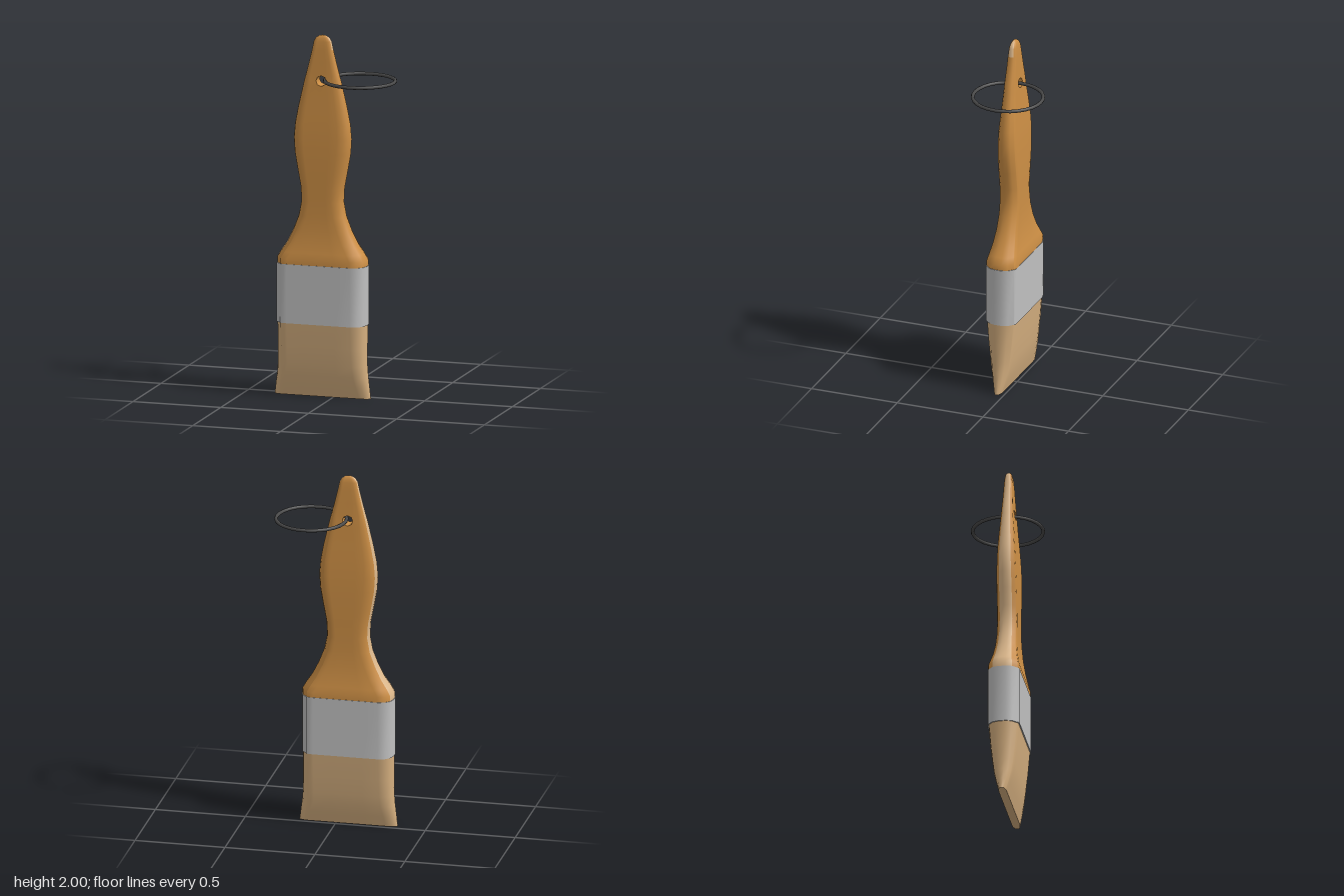
import * as THREE from 'three';

const mat = (name, color, side = THREE.FrontSide) =>
  Object.assign(new THREE.MeshStandardMaterial({ color, side }), { name });

const CX = -0.066, CZ = 0.04; // axis of the brush
const HOLE_Y = 1.75, HOLE_R = 0.029;
const COLS = [-1, -0.5, 0, 0.5, 1]; // columns across each flat face
const ARC = 3; // segments per corner
const RING = 2 * (COLS.length + 2 * ARC + 1); // points per cross-section

// Rounded-rectangle section: half width w, half depth d, corner width rx.
// Runs along the front to +x, round to the back, and home round -x.
function section([y, w, d, rx]) {
  const half = [], rz = 0.78 * d;
  for (const u of COLS) half.push([u * (w - rx), d]);
  for (let i = 1; i <= ARC; i++) {
    const a = (i / ARC) * Math.PI / 2;
    half.push([w - rx + rx * Math.sin(a), d - rz + rz * Math.cos(a)]);
  }
  for (let i = 0; i <= ARC; i++) {
    const a = (i / ARC) * Math.PI / 2;
    half.push([w - rx + rx * Math.cos(a), -(d - rz) - rz * Math.sin(a)]);
  }
  half.pop(); // the last corner point starts the next flat
  half.push([w - rx * 0.5, -d + rz * (1 - Math.cos(Math.PI / 6)) * 0.5], [w - rx * 0.8, -d]);
  const other = half.map(([x, z]) => [-x, -z]);
  return [...half, ...other].map(([x, z]) => new THREE.Vector3(CX + x, y, CZ + z));
}

// Skin between sections; pick(row, column) gives a material index, or -1 for a gap.
function loft(rings, pick = () => 0) {
  const n = rings[0].length, pos = rings.flat().flatMap(p => [p.x, p.y, p.z]);
  const sets = [[], []];
  for (let r = 0; r < rings.length - 1; r++) for (let c = 0; c < n; c++) {
    const m = pick(r, c);
    if (m < 0) continue;
    const a = r * n + c, b = r * n + (c + 1) % n;
    sets[m].push(a, b, b + n, a, b + n, a + n);
  }
  const g = new THREE.BufferGeometry();
  g.setAttribute('position', new THREE.Float32BufferAttribute(pos, 3));
  g.setIndex([...sets[0], ...sets[1]]);
  g.addGroup(0, sets[0].length, 0);
  if (sets[1].length) g.addGroup(sets[0].length, sets[1].length, 1);
  g.computeVertexNormals();
  return g;
}

// Flat lid on a section
function cap(ring, up) {
  const g = new THREE.BufferGeometry(), idx = [];
  const mid = new THREE.Vector3(CX, ring[0].y, CZ);
  g.setAttribute('position', new THREE.Float32BufferAttribute([mid, ...ring].flatMap(p => [p.x, p.y, p.z]), 3));
  ring.forEach((_, i) => {
    const a = i + 1, b = (i + 1) % ring.length + 1;
    idx.push(0, ...(up ? [a, b] : [b, a]));
  });
  g.setIndex(idx);
  g.computeVertexNormals();
  return g;
}

export function createModel() {
  const group = new THREE.Group();
  const wood = mat('wood', 0xcd8f45), paleWood = mat('pale wood', 0xdeb98c);
  const metal = mat('ferrule metal', 0xc0c0c0), hair = mat('bristle', 0xd6b080);
  const wire = mat('dark wire', 0x4a4a4a), holeWood = mat('hole wood', 0xcd8f45, THREE.DoubleSide);
  const add = (name, geometry, material) => {
    const mesh = new THREE.Mesh(geometry, material);
    mesh.name = name;
    group.add(mesh);
    return mesh;
  };

  // Handle profile: height, half width, half depth, corner width
  const rows = [
    [0.73, 0.252, 0.088, 0.075], [0.765, 0.252, 0.088, 0.075], [0.80, 0.232, 0.080, 0.075],
    [0.85, 0.198, 0.070, 0.07], [0.92, 0.163, 0.061, 0.065], [1.0, 0.132, 0.057, 0.06],
    [1.08, 0.117, 0.056, 0.055], [1.16, 0.121, 0.056, 0.055], [1.26, 0.140, 0.056, 0.06],
    [1.35, 0.156, 0.055, 0.065], [1.43, 0.161, 0.053, 0.065], [1.51, 0.154, 0.049, 0.06],
    [1.60, 0.137, 0.043, 0.055], [1.67, 0.121, 0.038, 0.05],
    [HOLE_Y - HOLE_R, 0.109, 0.035, 0.045], [HOLE_Y, 0.102, 0.033, 0.04],
    [HOLE_Y + HOLE_R, 0.094, 0.031, 0.034], [1.85, 0.076, 0.027, 0.03],
    [1.92, 0.059, 0.024, 0.026], [1.965, 0.050, 0.020, 0.024],
    [1.985, 0.038, 0.016, 0.02], [1.997, 0.020, 0.009, 0.012], [2.0, 0.004, 0.002, 0.002],
  ];
  const rings = rows.map(section);
  const H = 15, half = RING / 2, n = rings[0].length, back = n / 2;

  // Pull the points round the hole onto a circle, front and back
  const loop = [[-1, 1], [-1, 2], [-1, 3], [0, 3], [1, 3], [1, 2], [1, 1], [0, 1]];
  const rims = [0, back].map(start => loop.map(([dr, c]) => {
    const p = rings[H + dr][start + c], a = Math.atan2(dr, (c - 2) * (start ? -1 : 1));
    p.x = CX + HOLE_R * Math.cos(a);
    p.y = HOLE_Y + HOLE_R * Math.sin(a);
    return p;
  }));
  const side = COLS.length + ARC - 1; // the flat strip on the +x edge
  const pick = (r, c) => {
    const k = c % back;
    if ((r === H - 1 || r === H) && (k === 1 || k === 2)) return -1;
    const edge = k >= side - 1 && k <= side + 1;
    return edge && (c >= back || r >= 18) ? 1 : 0;
  };
  add('handle', loft(rings, pick), [wood, paleWood]);
  add('handleTip', cap(rings.at(-1), true), wood);

  // Wall of the hanging hole; the back loop is mirrored to line up with the front
  const order = [2, 1, 0, 7, 6, 5, 4, 3].map(i => rims[1][i]);
  const match = rims[0].map(p => order.reduce((m, q) =>
    Math.hypot(q.x - p.x, q.y - p.y) < Math.hypot(m.x - p.x, m.y - p.y) ? q : m));
  add('hangingHole', loft([rims[0], match]), holeWood);

  // Metal ferrule with a closed lower lip
  const ferrule = [[0.408, 0.255, 0.09, 0.075], [0.735, 0.255, 0.09, 0.075]].map(section);
  add('ferrule', loft(ferrule), metal);
  add('ferruleLip', cap(ferrule[0], false), metal);
  add('ferruleTop', cap(ferrule[1], true), metal);

  // Bristles, tapering to a wide chisel edge
  const bristles = [
    [0, 0.272, 0.022, 0.06], [0.06, 0.264, 0.038, 0.065], [0.12, 0.256, 0.052, 0.07],
    [0.18, 0.251, 0.061, 0.07], [0.28, 0.25, 0.073, 0.07], [0.41, 0.25, 0.084, 0.07],
  ].map(section);
  add('bristles', loft(bristles), hair);
  add('bristleEnds', cap(bristles[0], false), hair);

  // Wire ring through the hole
  const ring = add('hangingRing', new THREE.TorusGeometry(0.192, 0.01, 8, 28), wire);
  ring.rotation.x = Math.PI / 2;
  ring.position.set(0.133, HOLE_Y, 0);
  return group;
}
